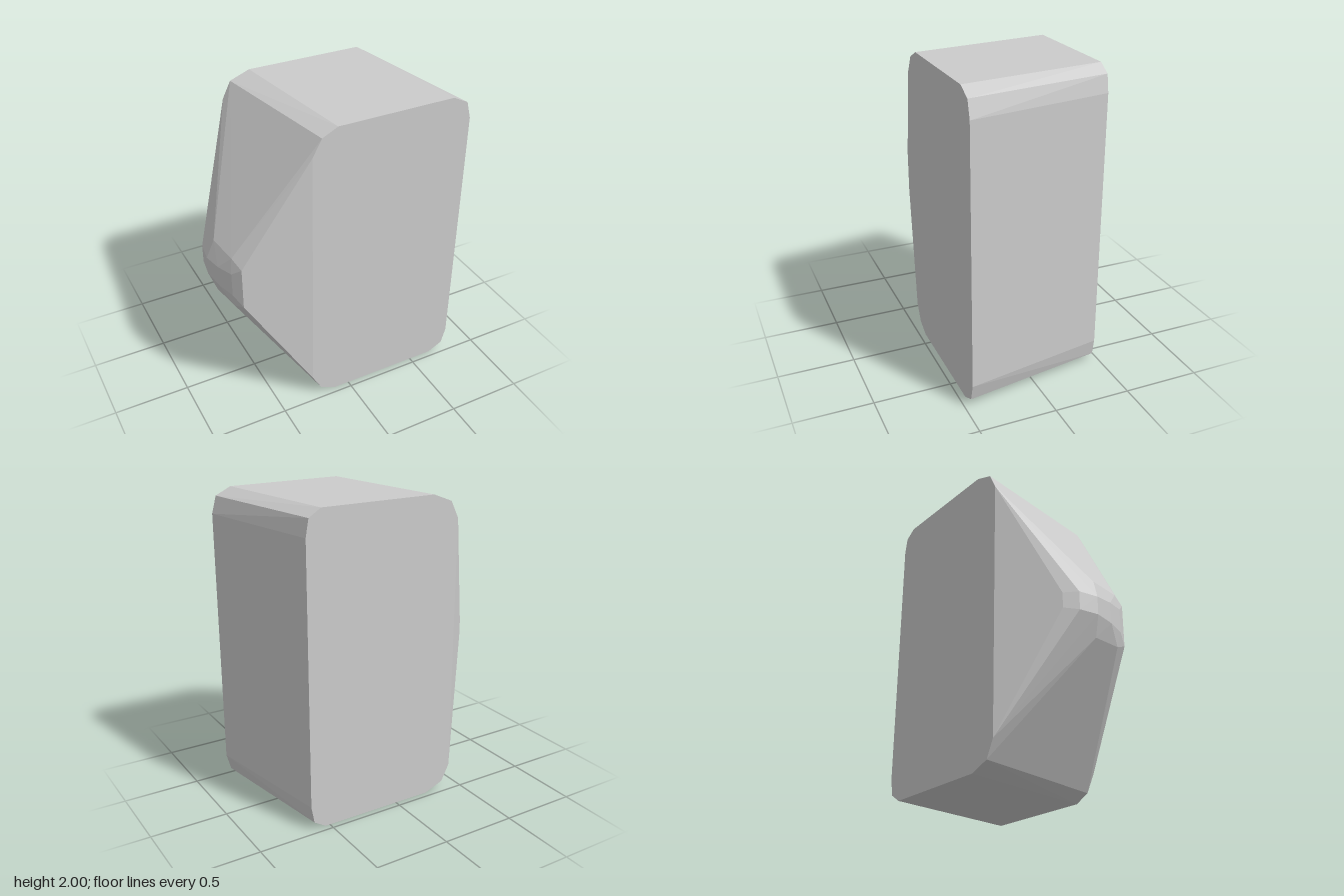
import * as THREE from 'three';
import { ConvexGeometry } from 'three/addons/geometries/ConvexGeometry.js';

// Each entry is [x, height above or below mid-height, z]; both signs are used.
const frontFace = [
  [0.79, 0.84], [0.76, 0.95], [0.66, 1], [-0.11, 1], [-0.21, 0.95], [-0.27, 0.84],
].map(([x, h]) => [x, h, 0.46]);

const backFace = [
  [0.63, 0.84], [0.61, 0.95], [0.53, 1], [-0.24, 1], [-0.37, 0.95], [-0.425, 0.84],
].map(([x, h]) => [x, h, -0.46]);

// Blunt rounded nose on the right side, from front to back
const nose = [
  [-0.69, 0.14, 0.36], [-0.73, 0.08, 0.29], [-0.715, 0.18, 0.27],
  [-0.77, 0.07, 0.17], [-0.743, 0.19, 0.06], [-0.79, 0.06, 0.04],
  [-0.77, 0.06, -0.09], [-0.71, 0.05, -0.17],
];

export function createModel() {
  const group = new THREE.Group();
  group.name = 'wedgeStone';

  // Mirror the outline about mid-height and wrap it in one convex skin
  const points = [...frontFace, ...backFace, ...nose].flatMap(([x, h, z]) => [
    new THREE.Vector3(x, 1 + h, z),
    new THREE.Vector3(x, 1 - h, z),
  ]);
  const body = new THREE.Mesh(
    new ConvexGeometry(points),
    new THREE.MeshStandardMaterial({ color: 0xcccccc, flatShading: true }),
  );
  body.name = 'body';
  group.add(body);
  return group;
}
